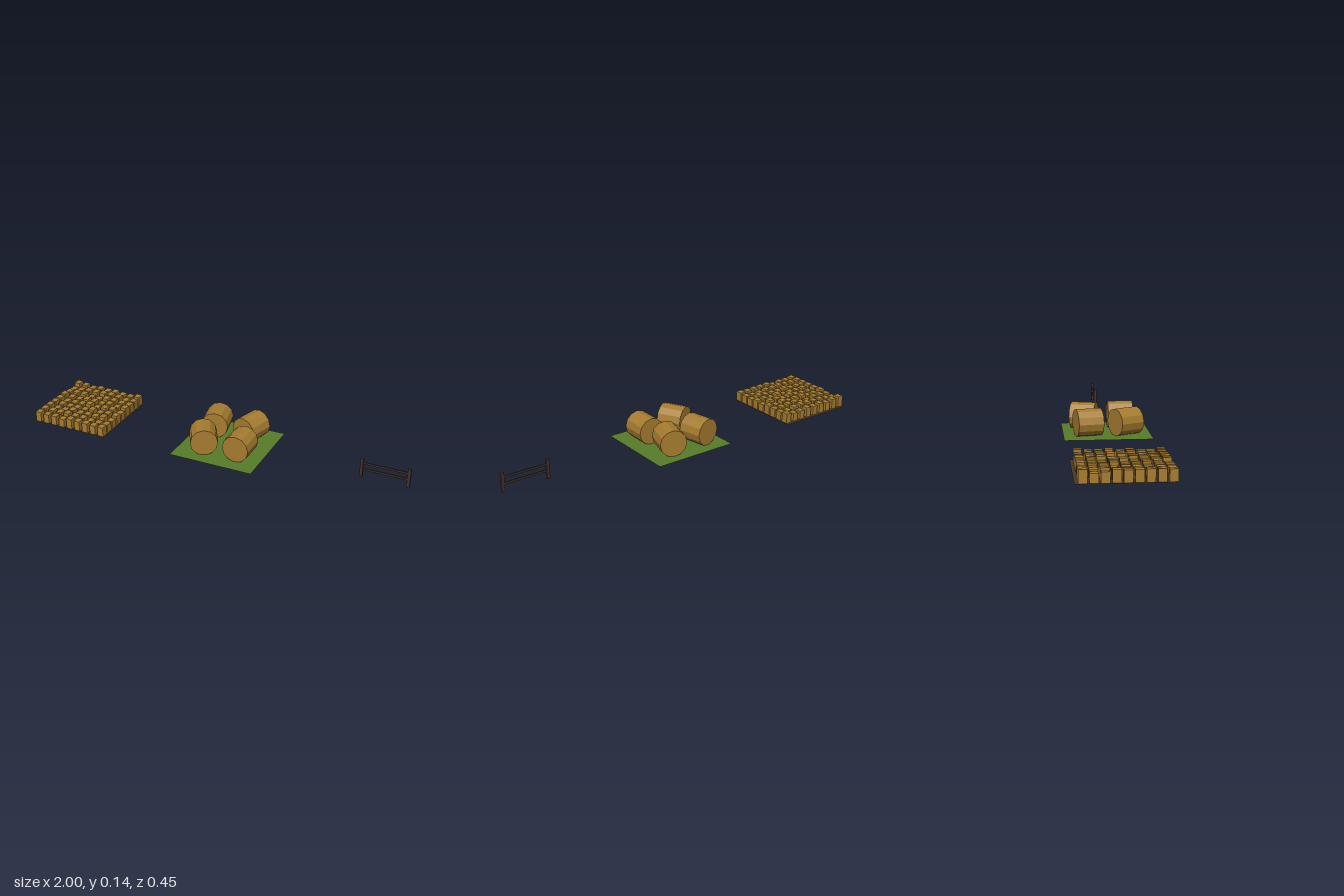
import * as THREE from 'three';

const material = (color) => new THREE.MeshStandardMaterial({ color, flatShading: true });

function add(parent, name, geometry, mat, x, y, z) {
  const mesh = new THREE.Mesh(geometry, mat);
  mesh.name = name;
  mesh.position.set(x, y, z);
  parent.add(mesh);
  return mesh;
}

function seeded(seed) {
  return () => {
    seed = (seed * 16807) % 2147483647;
    return seed / 2147483647;
  };
}

const GROUND_Y = 0.0045;

export function createModel() {
  const model = new THREE.Group();
  model.name = 'farmSet';

  const straw = material(0xa67c30);
  const soil = material(0x4c3626);
  const grass = material(0x587c2b);
  const wood = material(0x41302a);
  soil.side = grass.side = THREE.DoubleSide;

  const groundPatch = (parent, name, mat, width, depth, x, z) => {
    const patch = add(parent, name, new THREE.PlaneGeometry(width, depth), mat, x, GROUND_Y, z);
    patch.rotation.x = -Math.PI / 2;
  };

  // Crop field: soil patch with a 9 x 9 grid of uneven blocks
  const field = new THREE.Group();
  field.name = 'cropField';
  model.add(field);
  groundPatch(field, 'soil', soil, 0.43, 0.432, -0.785, -0.002);
  const random = seeded(41);
  for (let i = 0; i < 9; i++) {
    for (let j = 0; j < 9; j++) {
      // the far outer corner stands tallest
      const height = i === 0 && j === 0 ? 0.06 : 0.043 + 0.015 * random();
      add(field, 'cropBlock', new THREE.BoxGeometry(0.032, height, 0.038), straw,
        -0.978 + i * 0.0481, GROUND_Y + height / 2, -0.183 + j * 0.0474);
    }
  }

  // Hay bales: twelve-sided rolls lying on a grass patch
  const yard = new THREE.Group();
  yard.name = 'haybaleYard';
  model.add(yard);
  groundPatch(yard, 'grass', grass, 0.447, 0.447, 0.044, 0);
  const roll = new THREE.CylinderGeometry(0.0705, 0.0705, 0.13, 12);
  roll.rotateX(Math.PI / 2);
  const bales = [
    [-0.063, -0.097, 11.5],
    [0.127, -0.107, -16.5],
    [-0.05, 0.095, 28],
    [0.148, 0.083, 0],
  ];
  for (const [x, z, turn] of bales) {
    add(yard, 'hayBale', roll, straw, x, 0.0725, z).rotation.y = THREE.MathUtils.degToRad(turn);
  }

  // Fence section: two posts and two rails
  const fence = new THREE.Group();
  fence.name = 'fence';
  model.add(fence);
  for (const x of [0.7575, 0.9925]) {
    add(fence, 'post', new THREE.BoxGeometry(0.015, 0.1, 0.0145), wood, x, 0.05, 0);
  }
  for (const y of [0.042, 0.075]) {
    add(fence, 'rail', new THREE.BoxGeometry(0.235, 0.01, 0.007), wood, 0.875, y, 0);
  }

  return model;
}
